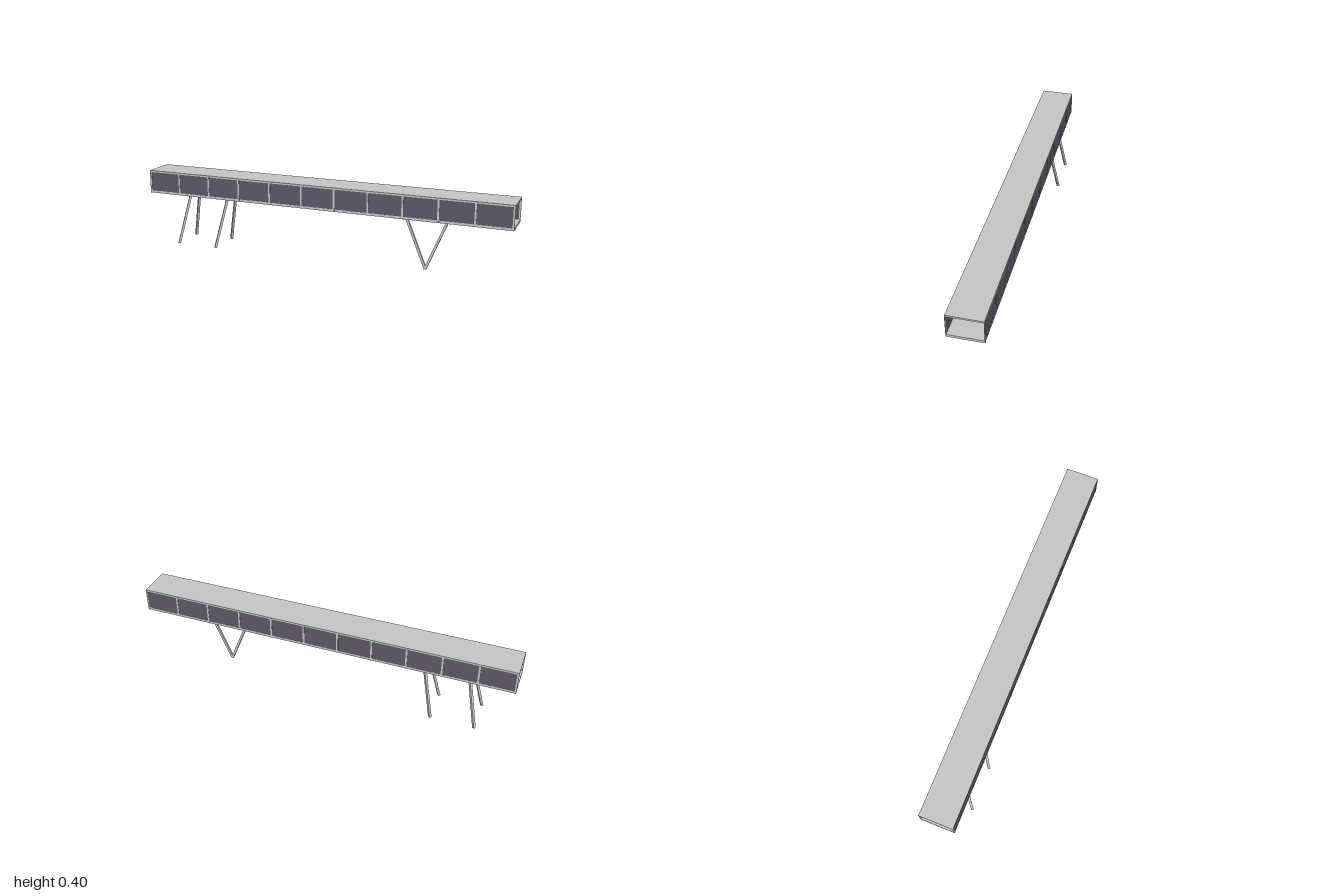
import * as THREE from 'three';

export function createModel() {
  const group = new THREE.Group();
  const metal = new THREE.MeshStandardMaterial({ color: 0xc6c8c6 });
  metal.name = 'lightGrey';
  const glass = new THREE.MeshStandardMaterial({ color: 0x5f5868 });
  glass.name = 'darkGlass';

  function box(name, material, size, position) {
    const mesh = new THREE.Mesh(new THREE.BoxGeometry(...size), material);
    mesh.name = name;
    mesh.position.set(...position);
    group.add(mesh);
    return mesh;
  }

  // Square strut between two points, kept level across its tilt
  function strut(name, from, to) {
    const a = new THREE.Vector3(...from), b = new THREE.Vector3(...to);
    const mid = a.clone().add(b).multiplyScalar(0.5);
    box(name, metal, [0.0125, 0.0125, a.distanceTo(b)], mid.toArray()).lookAt(b);
  }

  // Floor and roof slabs of the covered walkway
  box('floor', metal, [2, 0.013, 0.174], [0, 0.2835, 0]);
  box('roof', metal, [2, 0.009, 0.174], [0, 0.3975, 0]);

  // Glazed sides divided into equal bays by posts
  const bays = 11, postWidth = 0.009;
  for (const side of [-1, 1]) {
    box('glazing', glass, [1.998, 0.104, 0.0015], [0, 0.3415, side * 0.0855]);
    for (let i = 0; i <= bays; i++) {
      const x = -1 + postWidth / 2 + (i / bays) * (2 - postWidth);
      box('post', metal, [postWidth, 0.125, 0.0035], [x, 0.3395, side * 0.0863]);
    }
  }

  // Two pairs of splayed legs
  for (const x of [-0.828, -0.6])
    for (const side of [-1, 1])
      strut('splayedLeg', [x, 0.004, side * 0.092], [x + 0.06, 0.278, side * 0.047]);

  // V-shaped support
  for (const side of [-1, 1])
    strut('vSupport', [0.556, 0.004, 0], [0.556 + side * 0.113, 0.28, 0]);

  return group;
}
